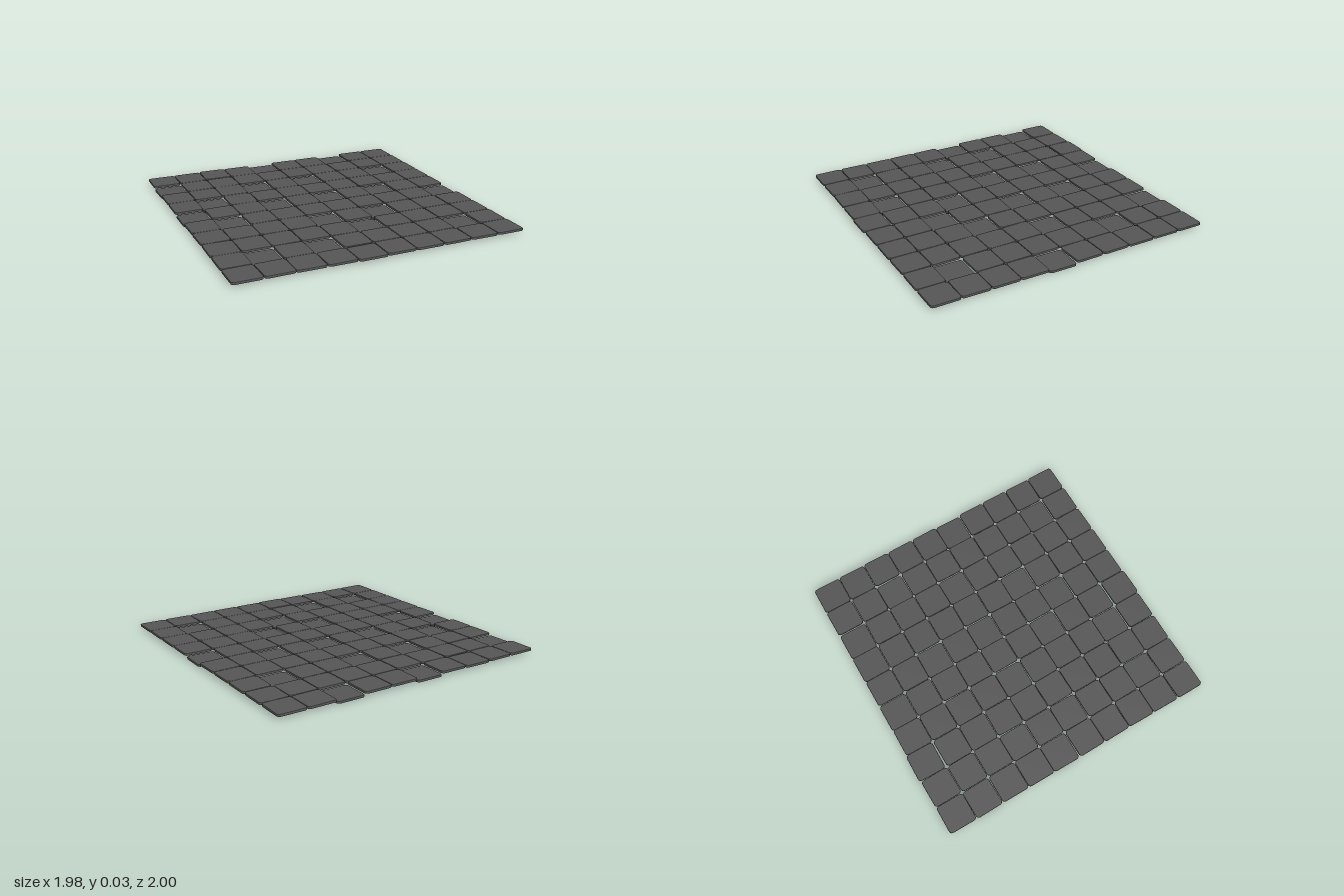
import * as THREE from 'three';

const COUNT = 10, PITCH = 0.198, SIZE = 0.196, THICK = 0.017, BEVEL = 0.004, RAISE = 0.016;

// Sunken tiles as "column,row": columns run from -x, rows from the front
const SUNKEN = new Set(['1,1', '3,1', '8,1', '5,2', '4,3', '6,3', '1,4', '9,4', '0,5', '3,5',
  '7,5', '5,5', '1,6', '3,7', '5,7', '8,7', '0,8', '4,9', '7,9']);

// Small seeded generator giving values from -1 to 1
function seeded(seed) {
  return () => {
    seed = (seed * 1664525 + 1013904223) % 4294967296;
    return seed / 2147483648 - 1;
  };
}

// Rounded square slab with bevelled edges, resting on y = 0
function tileGeometry() {
  const h = SIZE / 2 - BEVEL, r = 0.017, c = h - r;
  const shape = new THREE.Shape();
  shape.absarc(c, c, r, 0, Math.PI / 2);
  shape.absarc(-c, c, r, Math.PI / 2, Math.PI);
  shape.absarc(-c, -c, r, Math.PI, Math.PI * 1.5);
  shape.absarc(c, -c, r, Math.PI * 1.5, Math.PI * 2);
  const geometry = new THREE.ExtrudeGeometry(shape, {
    depth: THICK - 2 * BEVEL, bevelEnabled: true, bevelSize: BEVEL,
    bevelThickness: BEVEL, bevelSegments: 2, curveSegments: 4,
  });
  geometry.rotateX(-Math.PI / 2);
  geometry.translate(0, BEVEL, 0);
  return geometry;
}

export function createModel() {
  const floor = new THREE.Group();
  floor.name = 'tiledFloor';
  const material = new THREE.MeshStandardMaterial({ color: 0x555555 });
  const geometry = tileGeometry();
  const random = seeded(7);

  // Ten by ten tiles, each laid slightly askew
  for (let row = 0; row < COUNT; row++) {
    for (let col = 0; col < COUNT; col++) {
      const tile = new THREE.Mesh(geometry, material);
      const sunken = SUNKEN.has(`${col},${row}`);
      tile.name = sunken ? 'sunkenTile' : 'raisedTile';
      tile.position.set(
        (col - 4.5) * PITCH + random() * 0.001,
        sunken ? 0 : RAISE,
        (4.5 - row) * PITCH + random() * 0.001,
      );
      tile.rotation.y = random() * 0.018;
      // Two edge tiles stick out a little, at the front and at the back
      if (col === 4 && row === 0) tile.position.z += 0.009;
      if (col === 2 && row === 9) tile.position.z -= 0.009;
      floor.add(tile);
    }
  }
  return floor;
}
